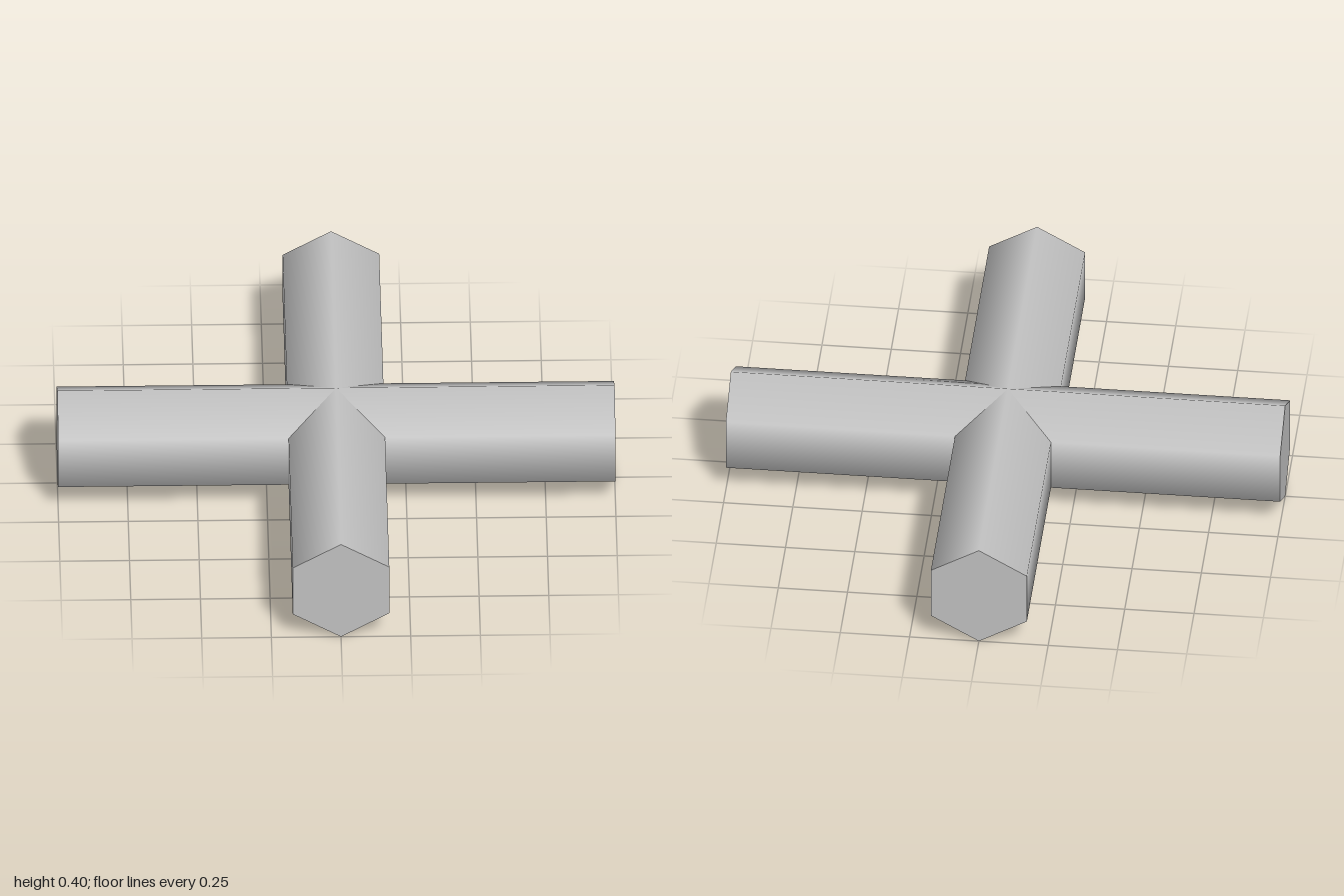
import * as THREE from 'three';

export function createModel() {
  const group = new THREE.Group();
  group.name = 'crossedBeams';

  const grey = new THREE.MeshStandardMaterial({ color: 0xc4c4c4 });
  grey.name = 'light grey';

  // Six-sided beam with smooth sides, one edge up and one edge down
  const beam = new THREE.CylinderGeometry(0.2, 0.2, 2, 6);
  beam.rotateX(Math.PI / 2);

  // Two identical beams crossing at the middle
  [['frontToBackBeam', 0], ['sideToSideBeam', Math.PI / 2]].forEach(([name, turn]) => {
    const mesh = new THREE.Mesh(beam, grey);
    mesh.name = name;
    mesh.position.y = 0.2;
    mesh.rotation.y = turn;
    group.add(mesh);
  });

  return group;
}
